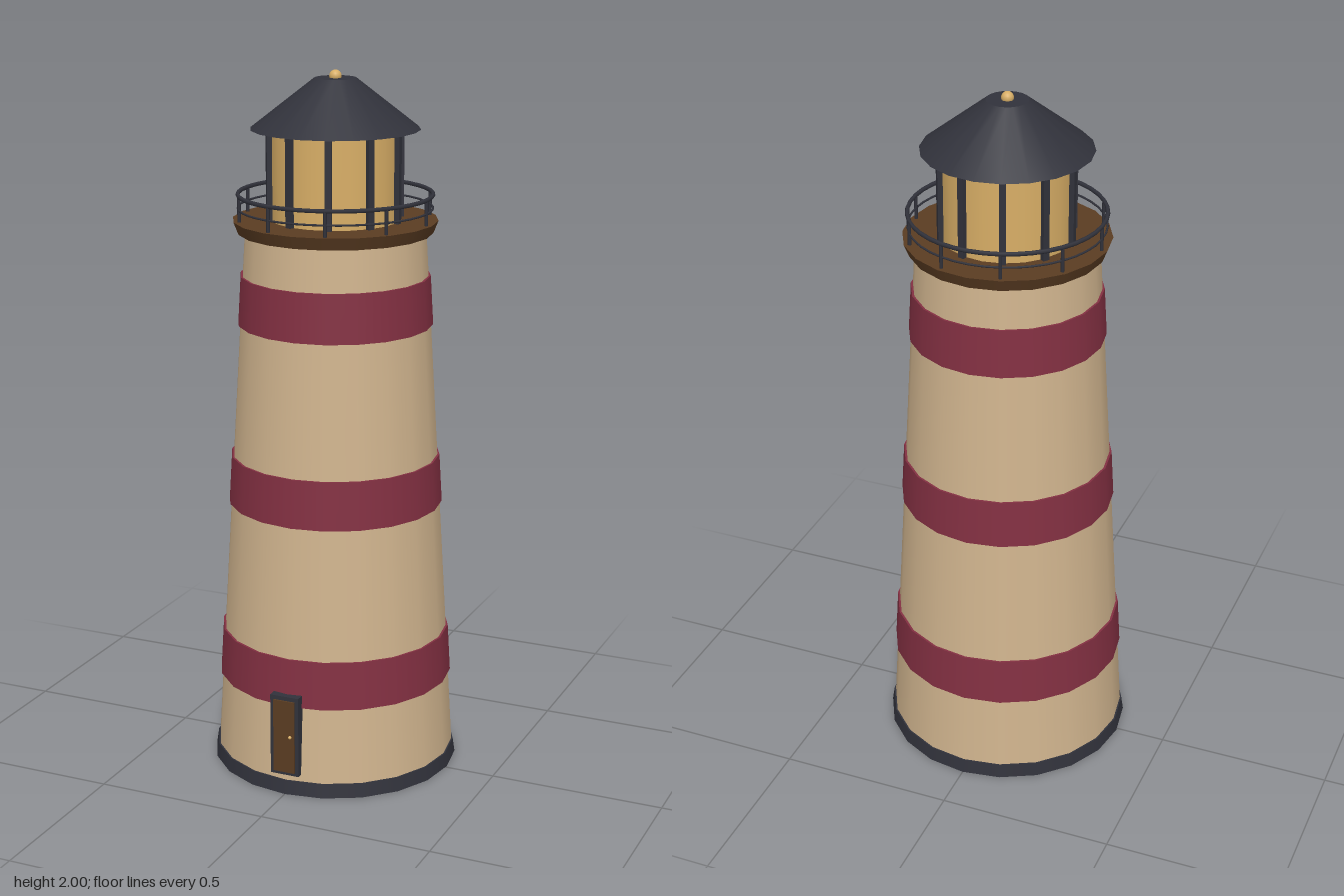
import * as THREE from 'three';

const SIDES = 20;

export function createModel() {
  const mat = (name, color) => {
    const m = new THREE.MeshStandardMaterial({ color });
    m.name = name;
    return m;
  };
  const cream = mat('cream plaster', 0xd0b48e);
  const red = mat('dark red paint', 0x833042);
  const dark = mat('dark iron', 0x31323b);
  const wood = mat('brown wood', 0x5a3c22);
  const gold = mat('warm gold', 0xd8ae66);

  const model = new THREE.Group();
  model.name = 'lighthouse';
  const body = new THREE.Group();
  body.name = 'body';
  body.position.z = -0.007; // the door sticks out in front
  model.add(body);

  const add = (name, geometry, material, x = 0, y = 0, z = 0) => {
    const mesh = new THREE.Mesh(geometry, material);
    mesh.name = name;
    mesh.position.set(x, y, z);
    body.add(mesh);
    return mesh;
  };
  // Round part between two heights
  const drum = (name, y0, y1, r0, r1, material, open = false) =>
    add(name, new THREE.CylinderGeometry(r1, r0, y1 - y0, SIDES, 1, open), material, 0, (y0 + y1) / 2, 0);
  const ring = (name, radius, tube, y) => {
    add(name, new THREE.TorusGeometry(radius, tube, 6, 40), dark, 0, y, 0).rotation.x = Math.PI / 2;
  };

  // Tapered tower
  const towerTop = 1.56;
  const towerRadius = (y) => 0.347 + (0.253 - 0.347) * (y / towerTop);
  drum('tower', 0, towerTop, towerRadius(0), towerRadius(towerTop), cream);
  drum('baseRing', 0, 0.04, 0.355, 0.349, dark, true);
  drum('baseRingTop', 0.036, 0.04, 0.349, 0.349, dark);

  // Painted bands
  for (let i = 0; i < 3; i++) {
    const y0 = 0.261 + i * 0.518;
    const y1 = y0 + 0.138;
    drum('band', y0, y1, towerRadius(y0) + 0.006, towerRadius(y1) + 0.006, red);
  }

  // Door with frame and knob
  add('doorFrame', new THREE.BoxGeometry(0.086, 0.238, 0.06), dark, 0, 0.179, 0.324);
  add('door', new THREE.BoxGeometry(0.064, 0.216, 0.06), wood, 0, 0.178, 0.329);
  add('doorKnob', new THREE.SphereGeometry(0.005, 10, 8), gold, 0.02, 0.18, 0.361);

  // Gallery and lantern room
  drum('gallery', 1.555, 1.59, 0.272, 0.286, wood);
  drum('lanternGlass', 1.59, 1.84, 0.18, 0.18, gold);

  // Railing posts and window bars, spaced evenly
  for (let i = 0; i < 10; i++) {
    const a = (i / 10) * Math.PI * 2;
    const c = Math.cos(a);
    const s = Math.sin(a);
    add('railPost', new THREE.CylinderGeometry(0.005, 0.005, 0.072, 6), dark, 0.27 * c, 1.625, 0.27 * s);
    add('windowBar', new THREE.BoxGeometry(0.018, 0.25, 0.018), dark, 0.184 * c, 1.715, 0.184 * s).rotation.y = -a;
  }
  ring('topRail', 0.27, 0.006, 1.66);
  ring('midRail', 0.27, 0.003, 1.622);

  // Roof and finial
  drum('roof', 1.84, 1.978, 0.235, 0.058, dark);
  add('finial', new THREE.SphereGeometry(0.017, 16, 12), gold, 0, 1.983, 0);

  return model;
}
